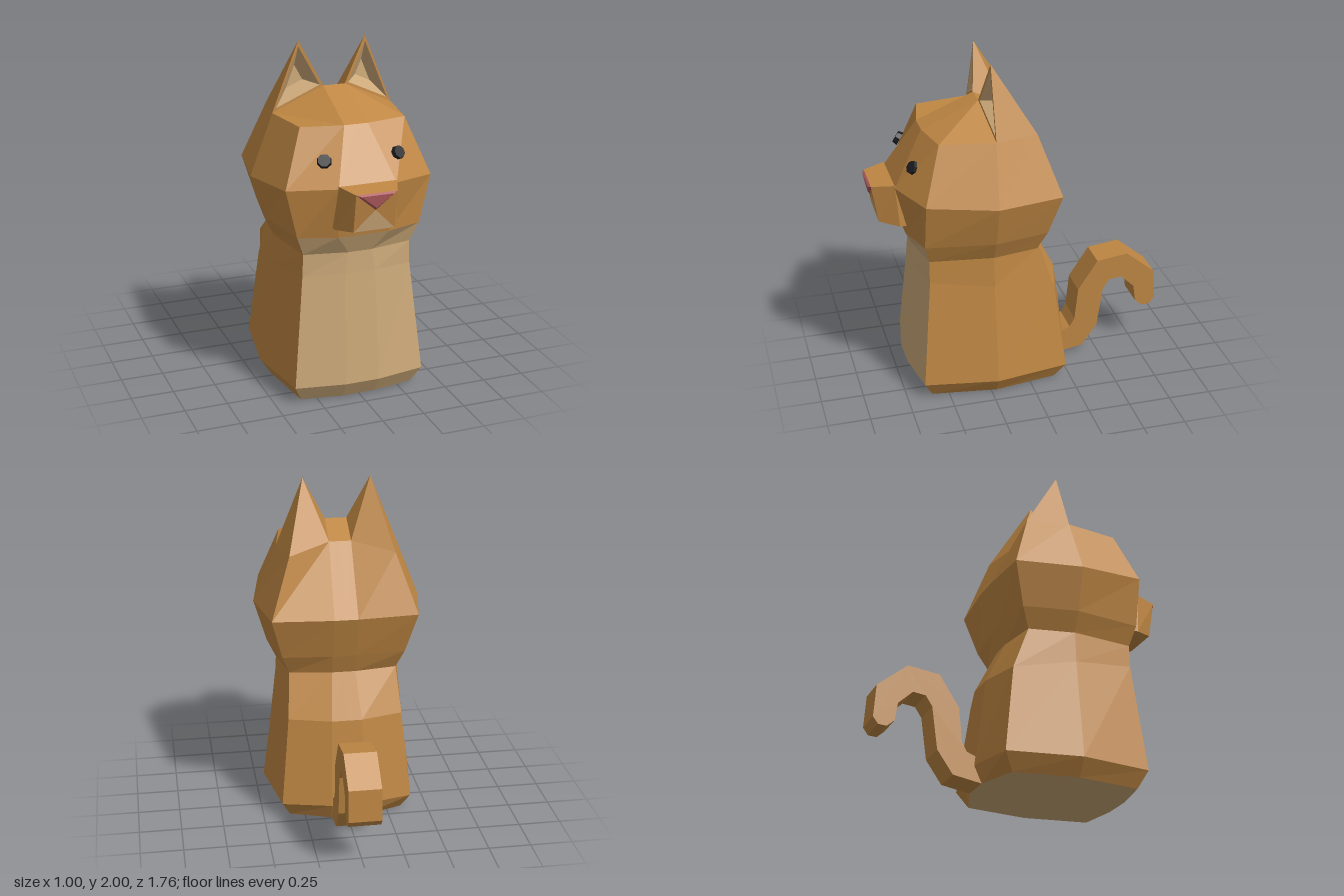
import * as THREE from 'three';

const mat = (color) => new THREE.MeshStandardMaterial({ color, flatShading: true });
const FUR = mat(0xbf8743), CREAM = mat(0xcba878), PINK = mat(0xb05a5e), BLACK = mat(0x1e1e22);

// Mesh from polygons given for the +x half; each is mirrored to -x
function mirrored(name, material, polys) {
  const pos = [];
  const fan = (p) => {
    for (let i = 1; i < p.length - 1; i++) pos.push(...p[0], ...p[i], ...p[i + 1]);
  };
  for (const p of polys) {
    fan(p);
    fan(p.map(([x, y, z]) => [-x, y, z]).reverse());
  }
  const geo = new THREE.BufferGeometry();
  geo.setAttribute('position', new THREE.Float32BufferAttribute(pos, 3));
  geo.computeVertexNormals();
  const mesh = new THREE.Mesh(geo, material);
  mesh.name = name;
  return mesh;
}

const mid = ([, y, z]) => [0, y, z]; // point moved onto the centre line

// Quads joining two equally long rows of points
function strip(a, b, from = 0, to = a.length - 1) {
  const out = [];
  for (let i = from; i < to; i++) out.push([a[i], a[i + 1], b[i + 1], b[i]]);
  return out;
}

// Half cross-sections: front middle, front corner, side, back corner, back middle
const sections = [
  [[.1, 0, .64], [.34, 0, .6], [.395, 0, .22], [.34, 0, -.155], [.1, 0, -.24]],
  [[.1, .1, .7], [.39, .1, .65], [.46, .1, .22], [.39, .1, -.215], [.1, .1, -.285]],
  [[.09, .76, .645], [.325, .75, .59], [.38, .7, .22], [.34, .625, -.15], [.09, .625, -.22]],
  [[.07, .885, .64], [.32, .885, .59], [.37, .885, .22], [.32, .885, -.05], [.07, .885, -.09]],
  [[.15, 1, .69], [.365, 1, .62], [.425, 1, .22], [.365, 1, -.1], [.07, 1, -.13]],
  [[.17, 1.3, .745], [.43, 1.28, .62], [.5, 1.25, .22], [.43, 1.25, -.17], [.07, 1.25, -.2]],
  [[.07, 1.6, .565], [.31, 1.6, .515], [.36, 1.6, .2], [.31, 1.6, -.05], [.065, 1.65, .05]],
].map((s) => [mid(s[0]), ...s, mid(s[4])]);

function addBody(group) {
  const fur = [], chest = [], head = [];
  for (let k = 0; k < sections.length - 1; k++) {
    const a = sections[k], b = sections[k + 1];
    const target = k < 3 ? fur : head;
    if (k < 4) {
      chest.push(...strip(a, b, 0, 2)); // pale front panel
      target.push(...strip(a, b, 2));
    } else target.push(...strip(a, b));
  }
  group.add(mirrored('body', FUR, fur), mirrored('chest', CREAM, chest), mirrored('head', FUR, head));
  group.add(mirrored('base', CREAM, [[...sections[0]].reverse()]));
}

function addCrownAndEars(group) {
  const [F0, F, C, O, K, M, M0] = sections[6];
  const I = [.065, 1.74, .23], T = [.2, 2, .19], I0 = mid(I);
  group.add(mirrored('crown', FUR, [[F0, F, I, I0], [C, O, I, F], [I0, I, M, M0]]));

  // Ear shells with a sunken pale inside
  const outer = [I, O, T, I];
  const centre = [.205, 1.775, .205];
  const inset = (s, dz) => outer.map((p) => p.map((v, i) => centre[i] + (v - centre[i]) * s + (i === 2 ? dz : 0)));
  const rim = inset(.85, 0), deep = inset(.32, -.07);
  group.add(mirrored('ears', FUR, [[O, K, T], [K, M, T], [M, I, T], ...strip(outer, rim)]));
  group.add(mirrored('innerEars', CREAM, [...strip(rim, deep), deep.slice(0, 3)]));
}

function addFace(group) {
  // Muzzle block
  const ft = [.12, 1.302, .872], fb = [.12, 1.078, .835];
  const bt = [.17, 1.315, .745], bb = [.185, 1.063, .725];
  const rt = [.17, 1.3, .64], rb = [.185, 1.063, .64];
  const N = [0, 1.2, .856];
  group.add(mirrored('muzzle', FUR, [
    [mid(ft), ft, bt, mid(bt)], [fb, bb, bt, ft], [mid(bb), bb, fb, mid(fb)],
    [bb, rb, rt, bt], [mid(rb), rb, bb, mid(bb)], [fb, ft, N],
  ]));
  group.add(mirrored('chin', CREAM, [[N, mid(fb), fb]]));

  // Nose wedge
  const n = [0, 1.217, .873], t = [.095, 1.293, .885];
  group.add(mirrored('nose', PINK, [[n, t, mid(t)], [N, ft, t, n], [mid(t), t, ft, mid(ft)]]));

  // Eyes lie on the sloping face
  for (const s of [1, -1]) {
    const eye = new THREE.Mesh(new THREE.CylinderGeometry(.036, .042, .03, 8), BLACK);
    eye.name = s > 0 ? 'leftEye' : 'rightEye';
    eye.position.set(s * .217, 1.438, .648);
    eye.quaternion.setFromUnitVectors(new THREE.Vector3(0, 1, 0), new THREE.Vector3(s * .32, .5, .8).normalize());
    group.add(eye);
  }
}

function addTail(group) {
  // Side outline of the curled tail: distance behind centre, height
  const outline = [
    [.2, .01], [.24, 0], [.41, .03], [.505, .165], [.54, .415], [.58, .475], [.655, .485], [.74, .405],
    [.755, .3], [.8, .26], [.85, .265], [.88, .305], [.867, .495], [.69, .64], [.5, .615],
    [.38, .43], [.36, .23], [.33, .175], [.28, .155], [.2, .15],
  ].map(([x, y]) => new THREE.Vector2(x, y));
  const geo = new THREE.ExtrudeGeometry(new THREE.Shape(outline), { depth: .19, bevelEnabled: false });
  geo.translate(0, 0, -.095);
  geo.rotateY(Math.PI / 2);
  const tail = new THREE.Mesh(geo, FUR);
  tail.name = 'tail';
  group.add(tail);
}

export function createModel() {
  const group = new THREE.Group();
  group.name = 'cat';
  addBody(group);
  addCrownAndEars(group);
  addFace(group);
  addTail(group);
  return group;
}
